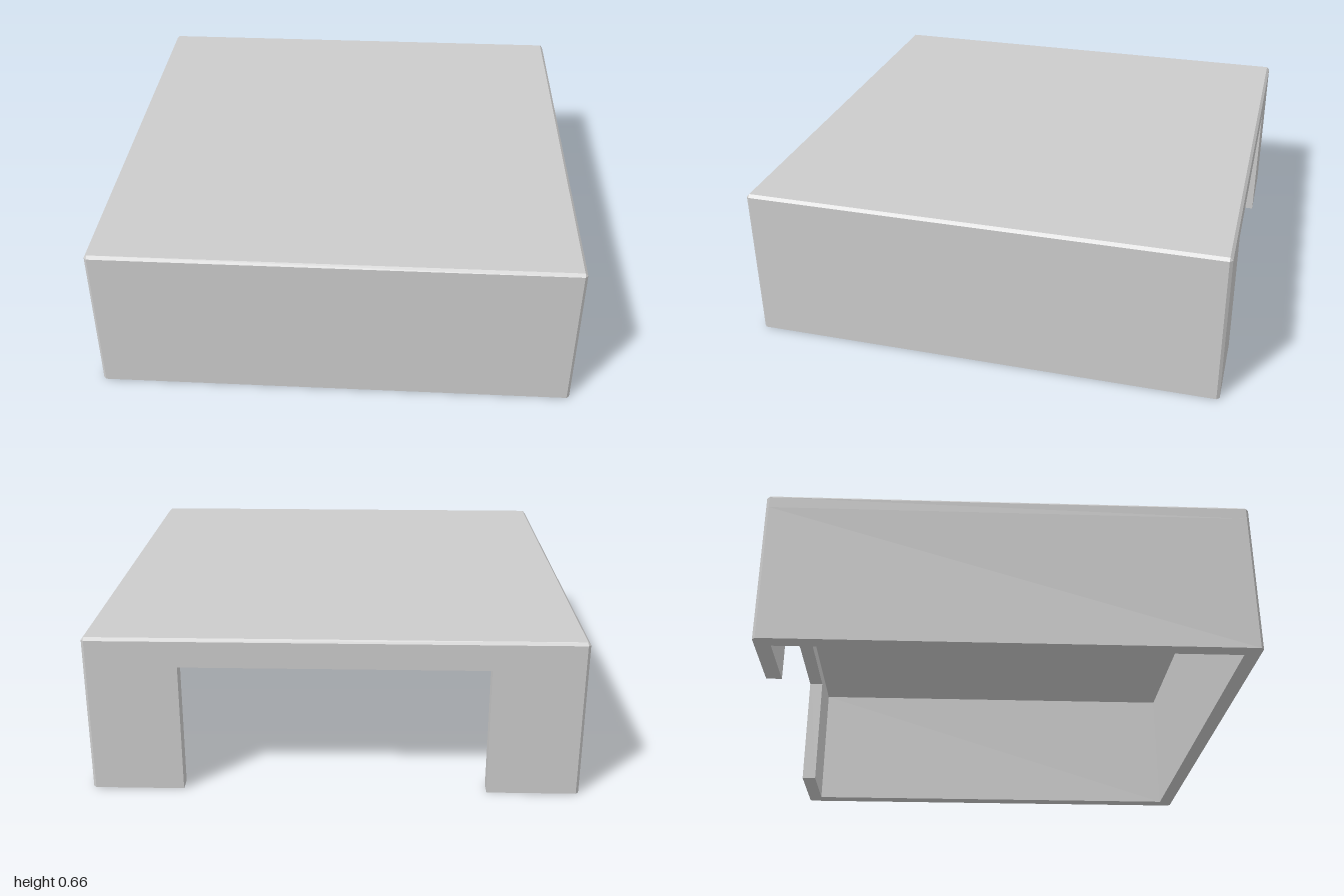
import * as THREE from 'three';
import { ConvexGeometry } from 'three/addons/geometries/ConvexGeometry.js';

const X = 0.995, Z = 1, H = 0.66;   // half width, half depth, height
const T = 0.065;                    // wall thickness
const C = 0.012;                    // chamfer on the outer edges
const CEILING = 0.6;
const GAP = 0.62, GAP_TOP = 0.54;   // opening in the back wall

export function createModel() {
  const group = new THREE.Group();
  const material = new THREE.MeshStandardMaterial({ color: 0xcccccc, flatShading: true });
  const add = (name, geometry) => {
    const mesh = new THREE.Mesh(geometry, material);
    mesh.name = name;
    group.add(mesh);
    return mesh;
  };

  // Walls: U-shaped plan (x, z), open at the back, chamfered corners
  const half = [
    [GAP, -Z + T], [GAP, -Z], [X - C, -Z], [X, -Z + C], [X, Z - C], [X - C, Z],
  ];
  const inner = [[X - T, Z - T], [X - T, -Z + T]];
  const mirror = (points) => points.map(([x, z]) => [-x, z]).reverse();
  const plan = [...half, ...mirror(half), ...mirror(inner), ...inner];
  const shape = new THREE.Shape(plan.map(([x, z]) => new THREE.Vector2(x, z)));
  const walls = new THREE.ExtrudeGeometry(shape, { depth: CEILING, bevelEnabled: false });
  walls.rotateX(Math.PI / 2).translate(0, CEILING, 0);
  add('walls', walls);

  // Lintel above the back opening
  const lintel = add('lintel', new THREE.BoxGeometry(2 * GAP, CEILING - GAP_TOP, T));
  lintel.position.set(0, (CEILING + GAP_TOP) / 2, -Z + T / 2);

  // Top slab with chamfered upper edges
  const points = [];
  for (const sx of [-1, 1]) for (const sz of [-1, 1]) {
    for (const y of [CEILING, H - C]) {
      points.push(new THREE.Vector3(sx * X, y, sz * (Z - C)));
      points.push(new THREE.Vector3(sx * (X - C), y, sz * Z));
    }
    points.push(new THREE.Vector3(sx * (X - C), H, sz * (Z - C)));
  }
  add('topSlab', new ConvexGeometry(points));

  return group;
}
